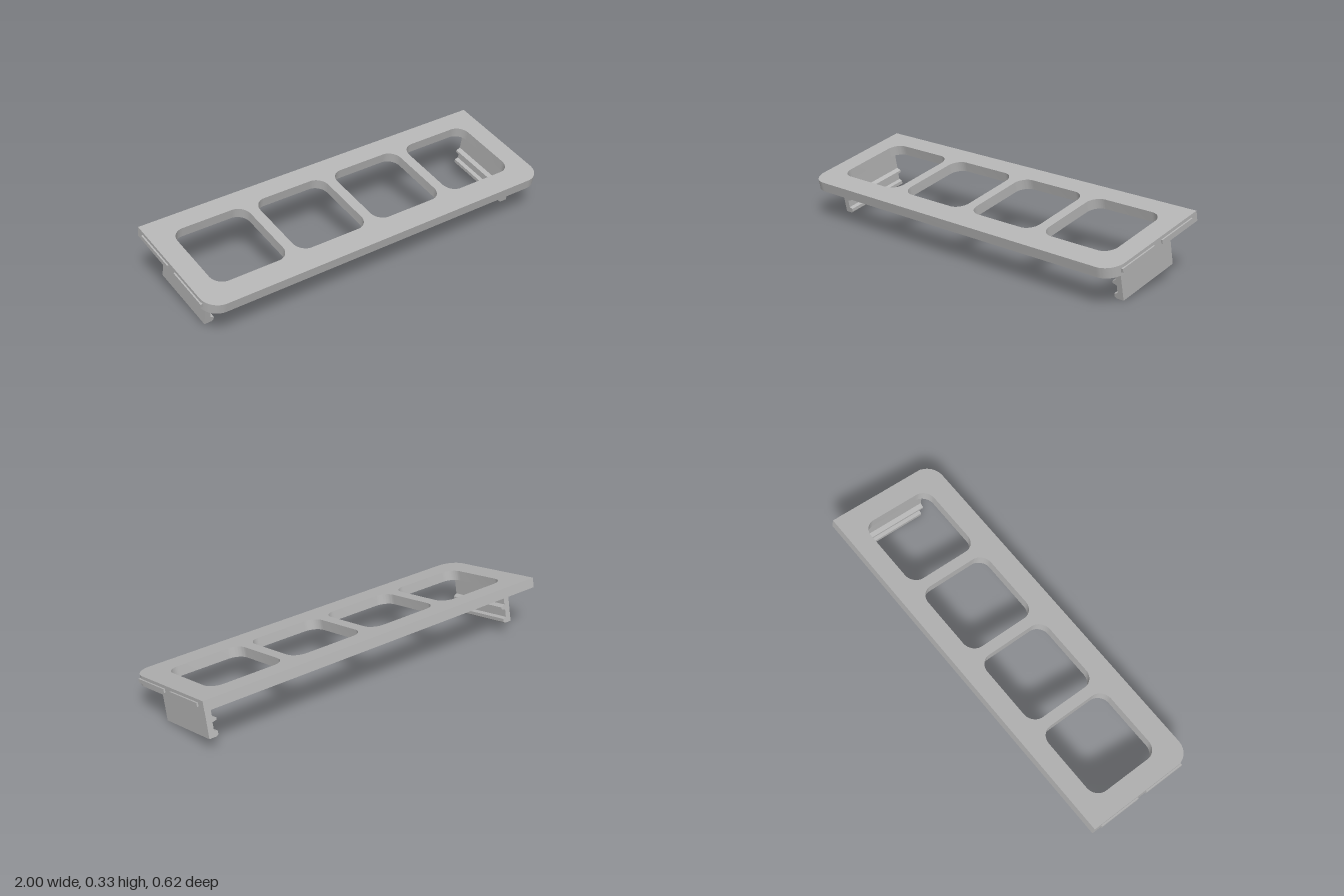
import * as THREE from 'three';
import { toCreasedNormals } from 'three/addons/utils/BufferGeometryUtils.js';

// Rectangle outline with separate radii for its front (+z) and back corners
function roundedOutline(path, x0, x1, z0, z1, rBack, rFront) {
  path.moveTo(x0 + rBack, z0);
  path.lineTo(x1 - rBack, z0);
  if (rBack) path.absarc(x1 - rBack, z0 + rBack, rBack, -Math.PI / 2, 0, false);
  path.lineTo(x1, z1 - rFront);
  path.absarc(x1 - rFront, z1 - rFront, rFront, 0, Math.PI / 2, false);
  path.lineTo(x0 + rFront, z1);
  path.absarc(x0 + rFront, z1 - rFront, rFront, Math.PI / 2, Math.PI, false);
  path.lineTo(x0, z0 + rBack);
  if (rBack) path.absarc(x0 + rBack, z0 + rBack, rBack, Math.PI, Math.PI * 1.5, false);
  return path;
}

export function createModel() {
  const grey = new THREE.MeshStandardMaterial({ color: 0xb4b4b4 });
  grey.name = 'grey plastic';

  const model = new THREE.Group();
  model.name = 'clipOnFrame';
  // The whole frame leans forward by 12 degrees; local y = 0 is its top face
  const tilted = new THREE.Group();
  tilted.name = 'tiltedFrame';
  tilted.rotation.x = THREE.MathUtils.degToRad(12);
  tilted.position.set(0, 0.2655, 0.005);
  model.add(tilted);

  const add = (geometry, name) => {
    const mesh = new THREE.Mesh(geometry, grey);
    mesh.name = name;
    tilted.add(mesh);
    return mesh;
  };

  // Face plate with four rounded square openings
  const plate = roundedOutline(new THREE.Shape(), -0.992, 0.992, -0.31, 0.31, 0, 0.09);
  for (let i = 0; i < 4; i++) {
    const cx = (i - 1.5) * 0.455;
    plate.holes.push(roundedOutline(new THREE.Path(), cx - 0.2, cx + 0.2, -0.207, 0.19, 0.065, 0.065));
  }
  const plateGeometry = new THREE.ExtrudeGeometry(plate, { depth: 0.051, bevelEnabled: false, curveSegments: 10 });
  plateGeometry.rotateX(Math.PI / 2);
  add(toCreasedNormals(plateGeometry, 0.6), 'facePlate');

  // Clip cross-section: flat outside, two snap ridges inside
  const clipProfile = [
    [0.925, -0.045], [0.925, -0.233], [0.885, -0.233], [0.876, -0.226], [0.876, -0.209],
    [0.895, -0.203], [0.895, -0.162], [0.872, -0.157], [0.872, -0.146], [0.893, -0.135], [0.893, -0.045],
  ];

  for (const side of [1, -1]) {
    const label = side > 0 ? 'left' : 'right';

    const shape = new THREE.Shape(clipProfile.map(([x, y]) => new THREE.Vector2(side * x, y)));
    const clip = new THREE.ExtrudeGeometry(shape, { depth: 0.368, bevelEnabled: false });
    clip.translate(0, 0, -0.188);
    add(clip, label + 'Clip');

    // Thin raised rails on the end of the plate
    for (const [name, z] of [['FrontRail', 0.132], ['BackRail', -0.152]]) {
      add(new THREE.BoxGeometry(0.018, 0.019, 0.23), label + name).position.set(side * 0.991, -0.025, z);
    }
  }
  return model;
}
